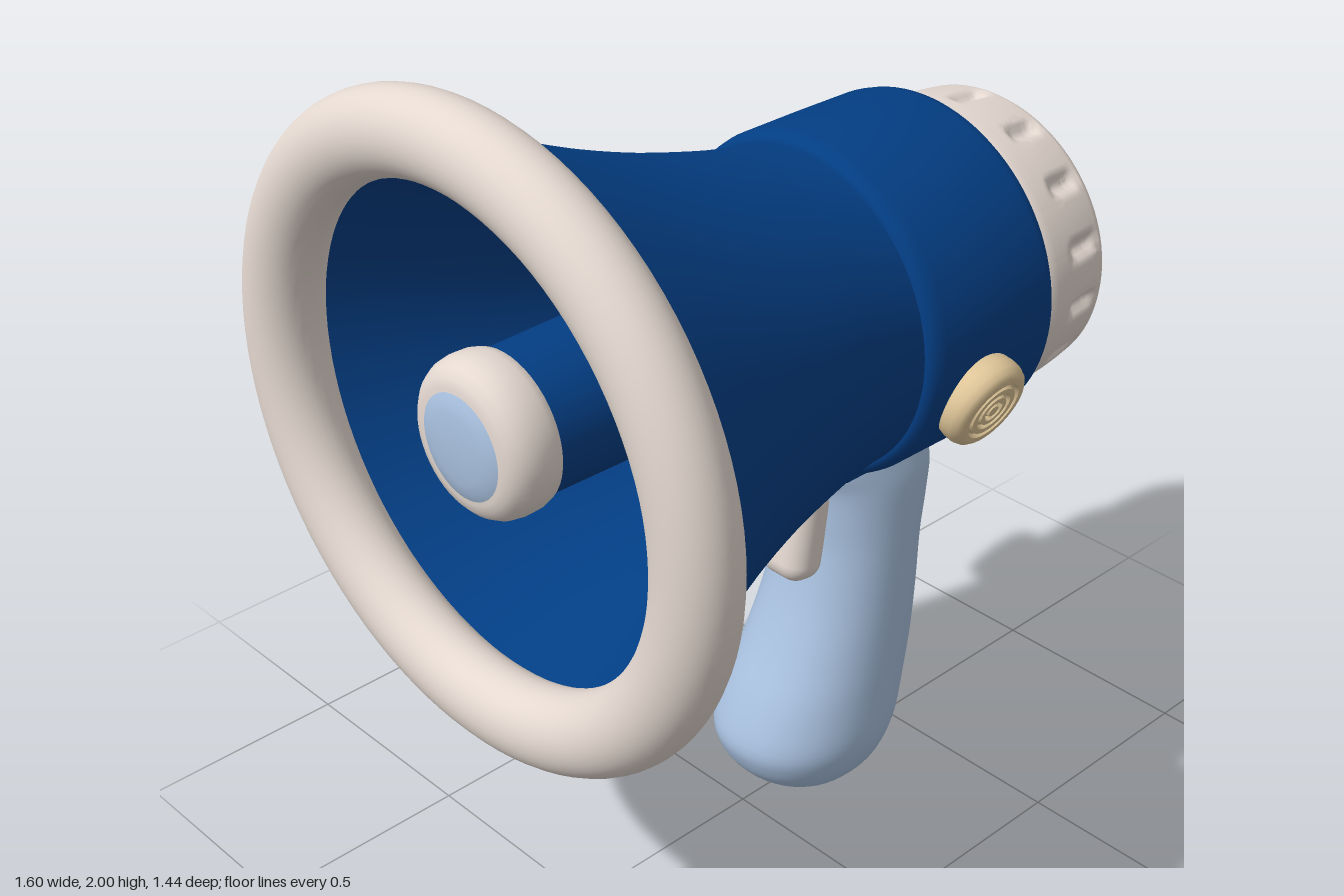
import * as THREE from 'three';
import { toCreasedNormals } from 'three/addons/utils/BufferGeometryUtils.js';
import { RoundedBoxGeometry } from 'three/addons/geometries/RoundedBoxGeometry.js';

const material = (name, color) => {
  const m = new THREE.MeshStandardMaterial({ color });
  m.name = name;
  return m;
};

const v2 = ([x, r]) => new THREE.Vector2(r, x);

// Smooth run of profile points through a few [x, radius] pairs
const smoothRun = (pairs, n) =>
  new THREE.SplineCurve(pairs.map(p => new THREE.Vector2(...p))).getPoints(n).map(p => [p.x, p.y]);

// Turn an [x, radius] profile about a level or drooping axis, slightly squashed in height
function turned(profile, { y: axisY, squash = 0.99, droop = 0, segments = 96, reshape = () => 1 }) {
  const geo = new THREE.LatheGeometry(profile.map(v2), segments);
  geo.rotateZ(-Math.PI / 2);
  const pos = geo.attributes.position;
  for (let i = 0; i < pos.count; i++) {
    const x = pos.getX(i), y = pos.getY(i), z = pos.getZ(i), k = reshape(x, y, z);
    pos.setXYZ(i, x, y * k * squash + axisY - droop * x, z * k);
  }
  return toCreasedNormals(geo, 0.75);
}

// Grip lofted from rounded cross-sections: [y, xMin, xMax, half depth]
function gripGeometry() {
  const rows = [
    [0, 0.215, 0.225, 0.005], [0.008, 0.14, 0.295, 0.08], [0.03, 0.075, 0.35, 0.127],
    [0.07, 0.022, 0.39, 0.165], [0.12, -0.01, 0.418, 0.188], [0.18, -0.018, 0.441, 0.198],
    [0.28, 0.025, 0.467, 0.19], [0.38, 0.085, 0.486, 0.181], [0.5, 0.142, 0.498, 0.172],
    [0.63, 0.18, 0.509, 0.163], [0.72, 0.19, 0.53, 0.157], [0.8, 0.192, 0.546, 0.15],
    [0.86, 0.175, 0.542, 0.135], [0.95, 0.18, 0.53, 0.11],
  ];
  const shape = new THREE.CatmullRomCurve3(
    rows.map(r => new THREE.Vector3(r[1], r[2], r[3])), false, 'catmullrom');
  const heights = new THREE.SplineCurve(rows.map(r => new THREE.Vector2(r[0], 0)));
  const N = 48, M = 52, positions = [], index = [];
  const round = c => Math.sign(c) * Math.abs(c) ** 0.92;
  for (let j = 0; j <= M; j++) {
    const s = shape.getPoint(j / M), y = Math.max(0, heights.getPoint(j / M).x);
    for (let i = 0; i < N; i++) {
      const a = (i / N) * Math.PI * 2;
      positions.push((s.x + s.y) / 2 + ((s.y - s.x) / 2) * round(Math.cos(a)), y, s.z * round(Math.sin(a)));
      if (j < M) {
        const p = j * N + i, q = j * N + ((i + 1) % N);
        index.push(p, p + N, q, q, p + N, q + N);
      }
    }
  }
  // Bottom cap
  for (let i = 1; i < N - 1; i++) index.push(0, i, i + 1);
  const geo = new THREE.BufferGeometry();
  geo.setAttribute('position', new THREE.Float32BufferAttribute(positions, 3));
  geo.setIndex(index);
  geo.computeVertexNormals();
  return geo;
}

export function createModel() {
  const blue = material('deep blue', 0x033e84);
  const ivory = material('ivory', 0xe4d8d0);
  const paleBlue = material('pale blue', 0xa8c0de);
  const tan = material('tan', 0xdfc699);

  const model = new THREE.Group();
  model.name = 'megaphone';
  const add = (name, geo, mat) => {
    const mesh = new THREE.Mesh(geo, mat);
    mesh.name = name;
    model.add(mesh);
    return mesh;
  };

  // Flared horn shell: throat, inner wall, then outer wall
  const flare = [[-0.69, 0.635], [-0.64, 0.612], [-0.4, 0.51], [-0.2, 0.443], [0, 0.395], [0.12, 0.376], [0.2, 0.37]];
  const outer = smoothRun(flare, 28);
  const inner = outer.filter(p => p[0] < 0.1).map(([x, r]) => [x, r - 0.03]).reverse();
  add('horn', turned([[0.1, 0], [0.1, 0.34], ...inner, ...outer], { y: 1.273, droop: 0.034 }), blue);

  // Thick rolled rim
  const rim = [];
  for (let i = 0; i <= 32; i++) {
    const t = (i / 32) * Math.PI * 2;
    rim.push([-0.718 - 0.082 * Math.cos(t), 0.629 + 0.091 * Math.sin(t)]);
  }
  add('rim', turned(rim, { y: 1.298, squash: 0.975 }), ivory);

  // Inner sound tube with its end ring and domed disc
  const tube = { y: 1.296, segments: 48 };
  add('innerTube', turned([[-0.66, 0], [-0.66, 0.157], [-0.3, 0.162], [0.12, 0.17]], tube), blue);
  add('innerTubeRing', turned([
    [-0.75, 0], [-0.75, 0.122], [-0.745, 0.142], [-0.73, 0.159], [-0.71, 0.17], [-0.685, 0.174],
    [-0.655, 0.173], [-0.635, 0.167], [-0.625, 0.15],
  ], tube), ivory);
  add('innerTubeDisc', turned([
    [-0.766, 0], [-0.765, 0.04], [-0.762, 0.075], [-0.757, 0.1], [-0.748, 0.118],
  ], tube), paleBlue);

  // Collar, with a flat seat for the handle underneath
  add('collar', turned([
    [0.16, 0.34], [0.16, 0.376], [0.166, 0.387], [0.18, 0.395], [0.2, 0.399], [0.36, 0.4],
    [0.52, 0.399], [0.54, 0.395], [0.551, 0.385], [0.556, 0.37], [0.556, 0],
  ], { y: 1.265, squash: 0.985 }), blue);
  add('handleSeat', new RoundedBoxGeometry(0.376, 0.1, 0.29, 4, 0.02), blue).position.set(0.36, 0.918, 0);

  // End cap with pressed-in grip notches, placed by angle from the top
  const capSide = [];
  for (let i = 0; i <= 22; i++) capSide.push([0.6 + i * 0.0075, 0.368 - 0.015 * (i / 22) ** 2]);
  const capProfile = [
    [0.54, 0.34], [0.558, 0.345], [0.563, 0.357], [0.575, 0.366], ...capSide,
    [0.776, 0.346], [0.786, 0.336], [0.794, 0.322], [0.799, 0.305], [0.8, 0.285], [0.8, 0],
  ];
  const notchAngles = [0, 26, 50, 74, 97, 121, 145, 169].map(THREE.MathUtils.degToRad);
  const notch = (x, y, z) => {
    const a = Math.abs(Math.atan2(z, y));
    const across = Math.min(...notchAngles.map(n => Math.abs(a - n))) * 0.36;
    const wide = 1 - THREE.MathUtils.smoothstep(across, 0.005, 0.032);
    const long = 1 - THREE.MathUtils.smoothstep(Math.abs(x - 0.7), 0.02, 0.06);
    return 1 - 0.06 * wide * long;
  };
  add('endCap', turned(capProfile, { y: 1.26, squash: 0.955, segments: 240, reshape: notch }), ivory);

  // Side knobs with concentric grooves
  const knobProfile = [[0, 0.1], [0.05, 0.108], [0.07, 0.107], [0.085, 0.101], [0.094, 0.09], [0.095, 0.082]];
  for (const r of [0.068, 0.043, 0.02]) {
    knobProfile.push([0.095, r + 0.006], [0.085, r + 0.002], [0.085, r - 0.002], [0.095, r - 0.006]);
  }
  knobProfile.push([0.096, 0]);
  const knobGeo = toCreasedNormals(new THREE.LatheGeometry(knobProfile.map(v2), 40), 0.7);
  for (const side of [1, -1]) {
    const out = new THREE.Vector3(0, -Math.sin(0.35), side * Math.cos(0.35));
    const knob = add(side > 0 ? 'frontKnob' : 'backKnob', knobGeo, tan);
    knob.position.set(0.323, 1.28, 0).addScaledVector(out, 0.362);
    knob.quaternion.setFromUnitVectors(new THREE.Vector3(0, 1, 0), out);
  }

  // Handle and trigger
  add('handle', gripGeometry(), paleBlue);
  const trigger = add('trigger', new RoundedBoxGeometry(0.11, 0.25, 0.14, 6, 0.048), ivory);
  trigger.position.set(0.168, 0.706, 0);
  trigger.rotation.z = -0.17;

  return model;
}
